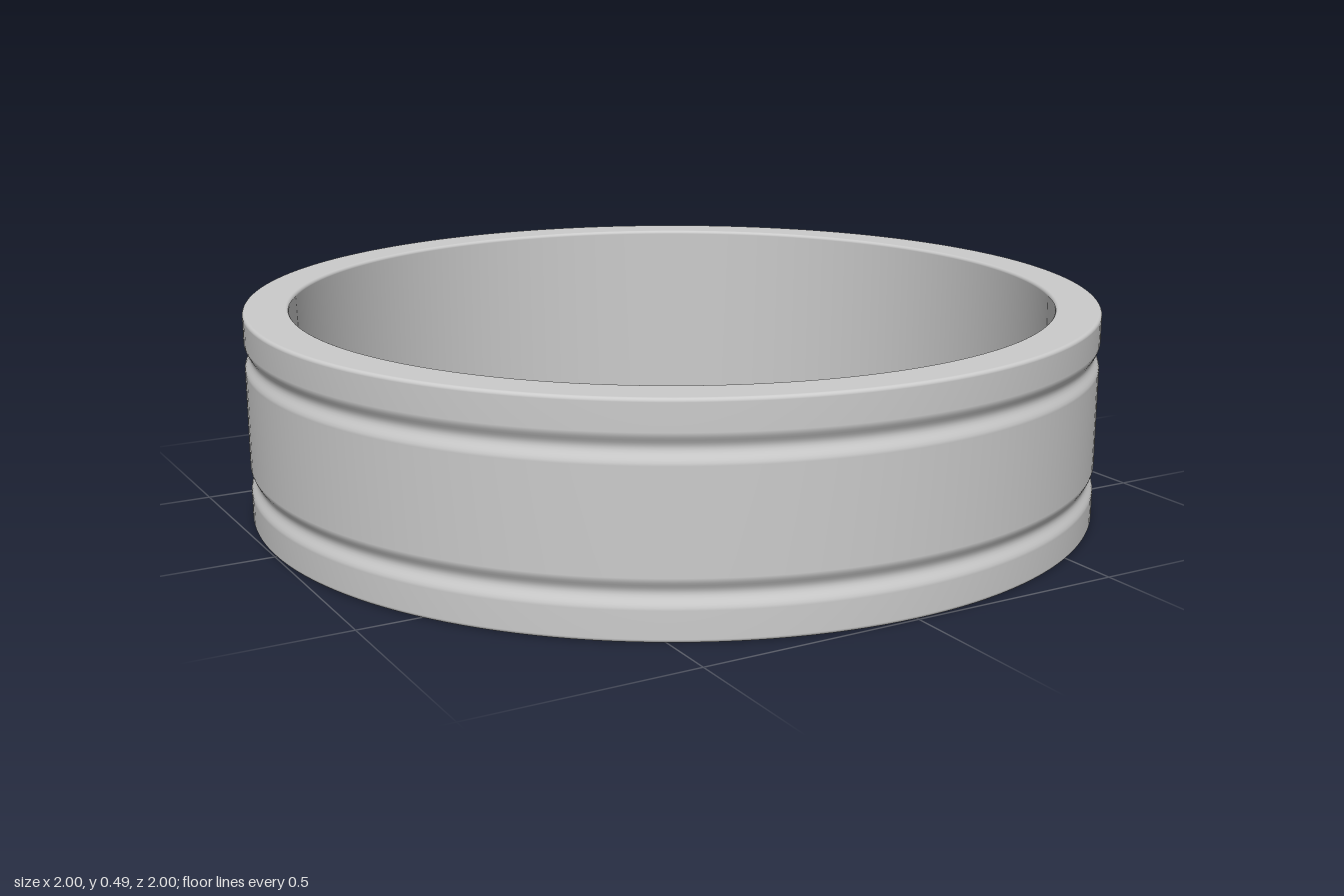
import * as THREE from 'three';

const OUTER = 1, INNER = 0.895, HEIGHT = 0.49, ROUND = 0.008;
const GROOVE_HALF = 0.033, GROOVE_DEPTH = 0.012, GROOVE_STEPS = 12, ROUND_STEPS = 6;

// Soft, cosine-shaped dip in the outer wall, centred at height y
function groove(y) {
  const points = [];
  for (let i = 0; i <= GROOVE_STEPS; i++) {
    const t = (i / GROOVE_STEPS) * 2 - 1;
    const dip = GROOVE_DEPTH * 0.5 * (1 + Math.cos(Math.PI * t));
    points.push(new THREE.Vector2(OUTER - dip, y + t * GROOVE_HALF));
  }
  return points;
}

// Quarter-round edge about (x, y), starting at the given quarter turn
function roundedEdge(x, y, quarter) {
  const points = [];
  for (let i = 0; i <= ROUND_STEPS; i++) {
    const a = (quarter + i / ROUND_STEPS) * Math.PI / 2;
    points.push(new THREE.Vector2(x + ROUND * Math.cos(a), y + ROUND * Math.sin(a)));
  }
  return points;
}

export function createModel() {
  const group = new THREE.Group();
  group.name = 'ring';

  // Closed band section: starts and ends halfway up the plain inner wall
  const profile = [
    new THREE.Vector2(INNER, HEIGHT / 2),
    ...roundedEdge(INNER + ROUND, ROUND, 2),
    ...roundedEdge(OUTER - ROUND, ROUND, 3),
    ...groove(0.1),
    ...groove(HEIGHT - 0.1),
    ...roundedEdge(OUTER - ROUND, HEIGHT - ROUND, 0),
    ...roundedEdge(INNER + ROUND, HEIGHT - ROUND, 1),
    new THREE.Vector2(INNER, HEIGHT / 2),
  ];
  const band = new THREE.Mesh(
    new THREE.LatheGeometry(profile, 160),
    new THREE.MeshStandardMaterial({ color: 0xf8fafb }),
  );
  band.name = 'band';
  group.add(band);
  return group;
}
